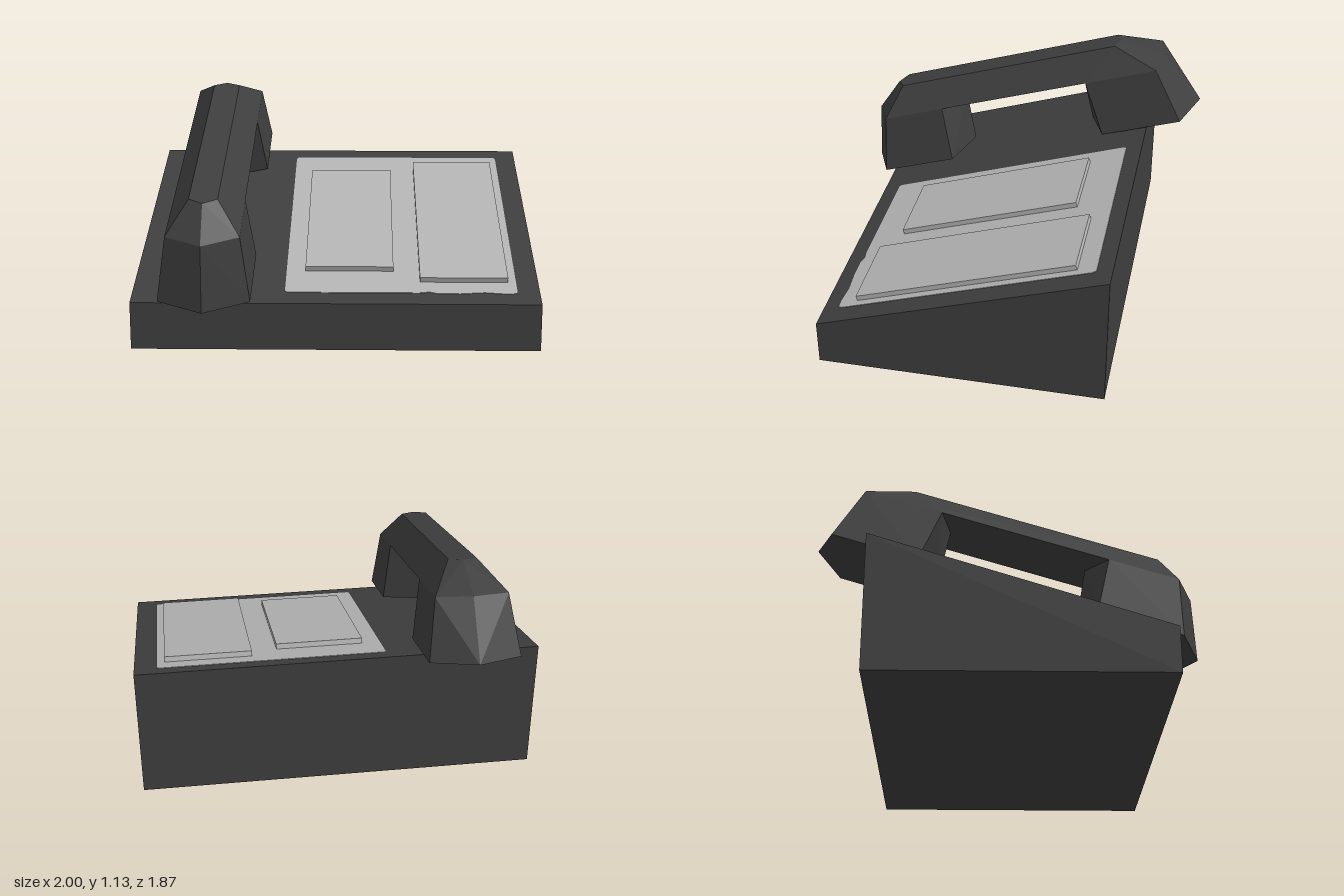
import * as THREE from 'three';
import { ConvexGeometry } from 'three/addons/geometries/ConvexGeometry.js';

export function createModel() {
  const model = new THREE.Group();
  model.name = 'deskTelephone';
  const dark = new THREE.MeshStandardMaterial({ color: 0x3e3e3e });
  dark.name = 'dark plastic';
  const light = new THREE.MeshStandardMaterial({ color: 0xb4b4b4 });
  light.name = 'light panel';

  const add = (parent, name, geometry, material) => {
    const mesh = new THREE.Mesh(geometry, material);
    mesh.name = name;
    parent.add(mesh);
    return mesh;
  };

  // Wedge base: side profile (backward, up) extruded across the width
  const profile = new THREE.Shape([[-0.8, 0], [0.66, 0], [0.66, 0.71], [-0.8, 0.235]]
    .map(([a, b]) => new THREE.Vector2(a, b)));
  const wedge = new THREE.ExtrudeGeometry(profile, { depth: 2, bevelEnabled: false });
  wedge.translate(0, 0, -1).rotateY(Math.PI / 2);
  add(model, 'base', wedge, dark);

  // Control panel, laid out flat in x and distance up the slope
  const angle = Math.atan(0.475 / 1.46);
  const up = (z) => -z / Math.cos(angle);
  const panel = new THREE.Group();
  panel.name = 'controlPanel';
  panel.position.y = 0.495;
  panel.rotation.x = angle - Math.PI / 2;
  model.add(panel);

  // Thin face plate with clipped corners and a slightly worn front edge
  const outline = new THREE.Shape([
    [-0.25, 0.70], [-0.24, 0.712], [0.41, 0.712], [0.46, 0.705], [0.50, 0.718], [0.61, 0.718],
    [0.73, 0.708], [0.83, 0.718], [0.88, 0.715], [0.89, 0.70],
    [0.89, -0.56], [0.88, -0.58], [-0.24, -0.575], [-0.25, -0.56],
  ].map(([x, z]) => new THREE.Vector2(x, up(z))));
  add(panel, 'facePlate', new THREE.ExtrudeGeometry(outline, { depth: 0.003, bevelEnabled: false }), light);

  // Two raised pads: left, right, front z, back z
  const pads = [[-0.155, 0.285, 0.535, -0.395], [0.415, 0.85, 0.625, -0.485]];
  for (const [x0, x1, z0, z1] of pads) {
    const pad = add(panel, 'raisedPad', new THREE.BoxGeometry(x1 - x0, up(z1) - up(z0), 0.03), light);
    pad.position.set((x0 + x1) / 2, (up(z0) + up(z1)) / 2, 0.015);
  }

  // Handset: every point lies on one of three parallel sloping levels
  const handset = new THREE.Group();
  handset.name = 'handset';
  handset.position.x = -0.635;
  model.add(handset);
  const FOOT = 0.518, SHOULDER = 0.8385, TOP = 0.981;
  const hull = (name, points) => {
    const corners = [];
    for (const [x, z, level] of points) {
      for (const side of x ? [-1, 1] : [1]) {
        corners.push(new THREE.Vector3(side * x, level - 0.3137 * z, z));
      }
    }
    add(handset, name, new ConvexGeometry(corners), dark);
  };

  // Grip bar with chamfered sides
  hull('grip', [
    [0, 0.80, TOP], [0.07, 0.76, TOP], [0.18, 0.84, SHOULDER],
    [0, -0.48, TOP], [0.07, -0.45, TOP], [0.18, -0.69, SHOULDER],
  ]);
  // Flared six-sided pods at each end
  hull('mouthpiece', [
    [0, 0.935, FOOT], [0.225, 0.84, FOOT], [0.225, 0.44, FOOT], [0, 0.35, FOOT],
    [0, 0.92, SHOULDER], [0.18, 0.84, SHOULDER], [0.18, 0.505, SHOULDER], [0, 0.40, SHOULDER],
    [0, 0.80, TOP], [0.07, 0.76, TOP],
  ]);
  hull('earpiece', [
    [0, -0.93, FOOT], [0.225, -0.84, FOOT], [0.225, -0.42, FOOT], [0, -0.335, FOOT],
    [0, -0.72, SHOULDER], [0.18, -0.69, SHOULDER], [0.18, -0.31, SHOULDER], [0, -0.27, SHOULDER],
    [0, -0.48, TOP], [0.07, -0.45, TOP],
  ]);

  return model;
}
